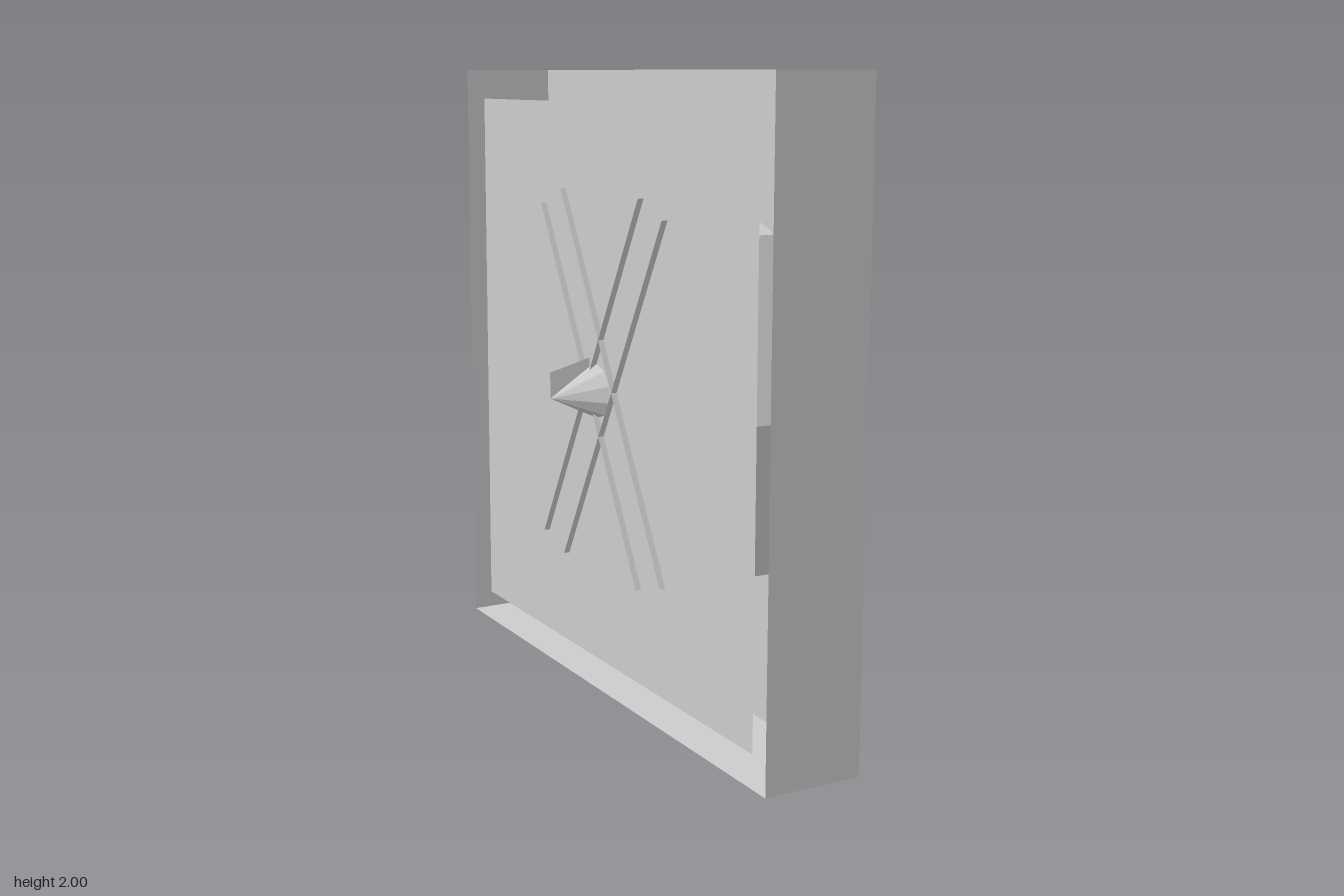
import * as THREE from 'three';

const material = new THREE.MeshStandardMaterial({ color: 0xcccccc, side: THREE.DoubleSide, flatShading: true });

const FRONT = 0.21, BACK = -0.11;

// Points are given as [z, y]; x is the depth of the model.
const at = (x, ring) => ring.map(([z, y]) => new THREE.Vector3(x, y, z));

// Builds a flat-shaded geometry from triangles of Vector3.
function fromTriangles(tris) {
  const g = new THREE.BufferGeometry().setFromPoints(tris.flat());
  g.computeVertexNormals();
  return g;
}

// Wall between two rings that run counter-clockwise seen from +x.
function wall(back, front, closed = true) {
  const tris = [];
  const n = back.length;
  for (let i = 0; i < (closed ? n : n - 1); i++) {
    const j = (i + 1) % n;
    tris.push([back[i], back[j], front[j]], [back[i], front[j], front[i]]);
  }
  return tris;
}

// Fan that closes a ring, starting at its first point.
function fan(ring, flip = false) {
  const tris = [];
  for (let i = 1; i < ring.length - 1; i++) {
    tris.push(flip ? [ring[0], ring[i + 1], ring[i]] : [ring[0], ring[i], ring[i + 1]]);
  }
  return tris;
}

// Flat face across x, with optional hole.
function plate(outline, hole) {
  const flat = (ring) => ring.map(([z, y]) => new THREE.Vector2(-z, y));
  const shape = new THREE.Shape(flat(outline));
  if (hole) shape.holes.push(new THREE.Path(flat(hole)));
  return new THREE.ShapeGeometry(shape).rotateY(Math.PI / 2);
}

const rectangle = (half, y0, y1) => [[half, y0], [-half, y0], [-half, y1], [half, y1]];

export function createModel() {
  const model = new THREE.Group();
  const add = (name, geometry, x = 0) => {
    const mesh = new THREE.Mesh(geometry, material);
    mesh.name = name;
    mesh.position.x = x;
    model.add(mesh);
  };

  // Square casing, open at the back
  const square = rectangle(1, 0, 2);
  const opening = [
    [0, 0.33], [-0.52, 0.48], [-0.775, 1], [-0.52, 1.52],
    [0, 1.72], [0.52, 1.52], [0.745, 1], [0.52, 0.48],
  ];
  add('casingFace', plate(square, opening), FRONT);
  add('casingSides', fromTriangles(wall(at(BACK, square), at(FRONT, square))));

  // Eight-sided duct behind the opening
  add('duct', fromTriangles(wall(at(FRONT, opening), at(-0.02, opening))));

  // Loose panel near the back
  add('backPanel', plate(rectangle(0.9, 0.09, 1.9)), -0.09);

  // Two crossing channel-shaped bars, open at the back
  for (const side of [1, -1]) {
    const edges = [
      [[0.26, 1.62], [-0.4, 0.445]],
      [[-0.25, 0.4], [0.405, 1.565]],
    ].map((edge) => edge.map(([z, y]) => [z * side, y]));
    const tris = fan(at(0.035, edges.flat()), side < 0);
    for (const edge of edges) tris.push(...wall(at(BACK, edge), at(0.035, edge), false));
    add(side > 0 ? 'barLeft' : 'barRight', fromTriangles(tris));
  }

  // Ten-sided hub with one edge drawn out through the panel
  const hub = [];
  for (let i = 0; i < 10; i++) {
    const a = (i + 2) * Math.PI / 5;
    hub.push([-0.137 * Math.sin(a), 1 - 0.137 * Math.cos(a)]);
  }
  const hubFront = at(0.134, hub);
  const hubBack = at(-0.02, hub);
  hubBack[0].x = hubBack[1].x = -0.215;
  add('hub', fromTriangles([...wall(hubBack, hubFront), ...fan(hubFront), ...fan(hubBack, true)]));

  return model;
}
